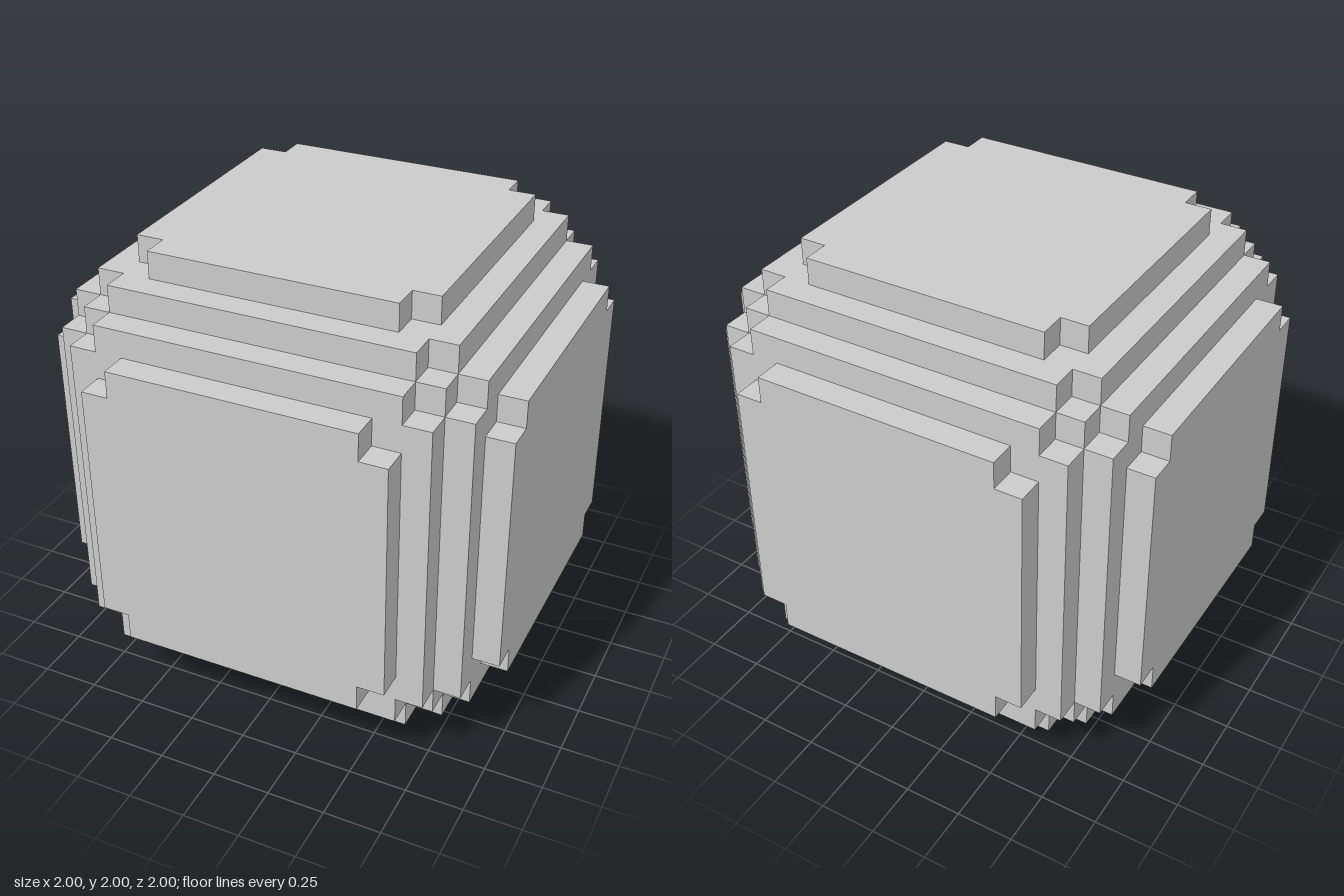
import * as THREE from 'three';

const U = 2 / 17; // edge of one block; the whole body is 17 blocks wide

// Square plate, one block thick, with a one-block notch in each corner
function notchedPlate(half) {
  const a = half * U, b = (half - 1) * U;
  const corners = [
    [a, -b], [a, b], [b, b], [b, a], [-b, a], [-b, b],
    [-a, b], [-a, -b], [-b, -b], [-b, -a], [b, -a], [b, -b],
  ];
  const shape = new THREE.Shape(corners.map(([x, y]) => new THREE.Vector2(x, y)));
  return new THREE.ExtrudeGeometry(shape, { depth: U, bevelEnabled: false });
}

export function createModel() {
  const group = new THREE.Group();
  const material = new THREE.MeshStandardMaterial({ color: 0xcccccc, flatShading: true });

  // Solid centre cube, its corners show between the plates
  const core = new THREE.Mesh(new THREE.BoxGeometry(13 * U, 13 * U, 13 * U), material);
  core.name = 'core';
  core.position.y = 1;
  group.add(core);

  // Two stacked plates on each of the six sides
  const innerPlate = notchedPlate(6.5);
  const outerPlate = notchedPlate(5.5);
  const sides = {
    front: [0, 0], back: [0, Math.PI],
    left: [0, Math.PI / 2], right: [0, -Math.PI / 2],
    top: [-Math.PI / 2, 0], bottom: [Math.PI / 2, 0],
  };
  for (const [name, [rx, ry]] of Object.entries(sides)) {
    const side = new THREE.Group();
    side.name = name + 'Side';
    side.position.y = 1;
    side.rotation.set(rx, ry, 0);
    const inner = new THREE.Mesh(innerPlate, material);
    inner.name = name + 'InnerPlate';
    inner.position.z = 6.5 * U;
    const outer = new THREE.Mesh(outerPlate, material);
    outer.name = name + 'OuterPlate';
    outer.position.z = 7.5 * U;
    side.add(inner, outer);
    group.add(side);
  }
  return group;
}
